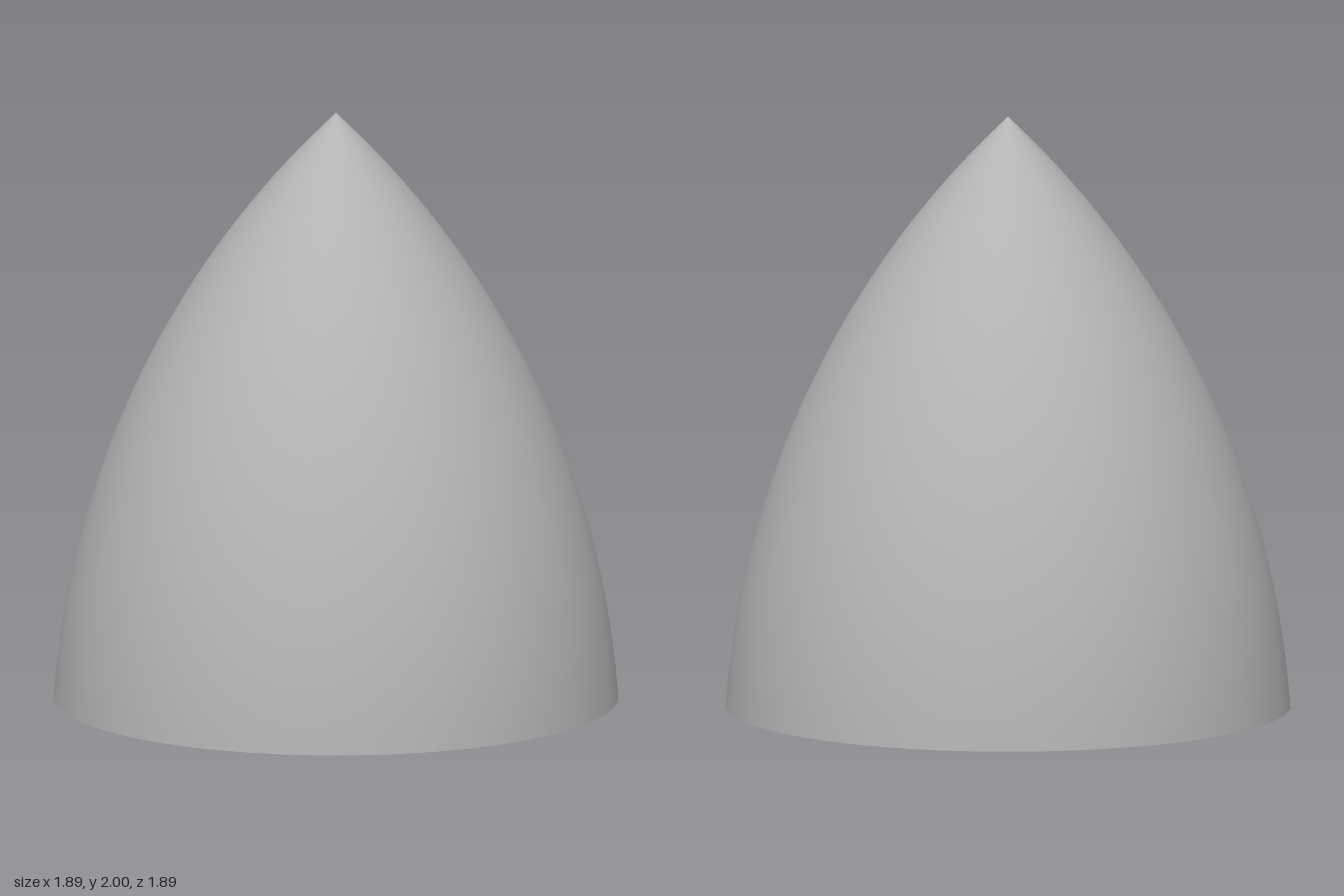
import * as THREE from 'three';
import { toCreasedNormals } from 'three/addons/utils/BufferGeometryUtils.js';

const HEIGHT = 2, BASE_R = 0.945;
const SOCKET_DEPTH = 0.44, ARM = 0.46, HALF_W = 0.14, FILLET = 0.25;

// Circular-arc ogive, from the base rim up to the tip
function ogiveProfile(steps = 48) {
  const R2 = 9.317, offset = 2.1, centreY = -0.216;
  const pts = [];
  for (let i = 0; i <= steps; i++) {
    const y = (HEIGHT * i) / steps;
    let r = Math.sqrt(R2 - (y - centreY) ** 2) - offset;
    if (i === 0) r = BASE_R;
    if (i === steps) r = 0;
    pts.push(new THREE.Vector2(Math.max(r, 0), y));
  }
  return pts;
}

// Counter-clockwise cross with widely rounded inner corners, set diagonally
function crossOutline() {
  const pts = [];
  const centre = HALF_W + FILLET;
  for (let k = 0; k < 4; k++) {
    const turn = Math.PI / 4 + (k * Math.PI) / 2;
    const add = (x, y) =>
      pts.push(new THREE.Vector2(x, y).rotateAround(new THREE.Vector2(), turn));
    add(ARM, -HALF_W);
    add(ARM, HALF_W);
    for (let i = 0; i <= 12; i++) {
      const a = -Math.PI / 2 - (i / 12) * (Math.PI / 2);
      add(centre + FILLET * Math.cos(a), centre + FILLET * Math.sin(a));
    }
  }
  return pts;
}

// Vertical walls facing into the socket
function wallGeometry(outline, depth) {
  const pos = [];
  outline.forEach((a, i) => {
    const b = outline[(i + 1) % outline.length];
    pos.push(a.x, 0, a.y, b.x, 0, b.y, a.x, depth, a.y);
    pos.push(b.x, 0, b.y, b.x, depth, b.y, a.x, depth, a.y);
  });
  const geo = new THREE.BufferGeometry();
  geo.setAttribute('position', new THREE.Float32BufferAttribute(pos, 3));
  return toCreasedNormals(geo, Math.PI / 5);
}

export function createModel() {
  const group = new THREE.Group();
  group.name = 'noseCone';
  const grey = new THREE.MeshStandardMaterial({ color: 0xb4b4b4 });
  grey.name = 'grey';

  const add = (name, geometry) => {
    const mesh = new THREE.Mesh(geometry, grey);
    mesh.name = name;
    group.add(mesh);
    return mesh;
  };

  // Pointed outer shell
  add('shell', new THREE.LatheGeometry(ogiveProfile(), 96));

  // Flat underside with the cross-shaped opening
  const outline = crossOutline();
  const disc = new THREE.Shape();
  disc.absarc(0, 0, BASE_R, 0, Math.PI * 2, false);
  disc.holes.push(new THREE.Path(outline));
  add('base', new THREE.ShapeGeometry(disc, 48).rotateX(Math.PI / 2));

  // Blind socket: walls and end face
  add('socketWalls', wallGeometry(outline, SOCKET_DEPTH));
  add('socketEnd', new THREE.ShapeGeometry(new THREE.Shape(outline)).rotateX(Math.PI / 2))
    .position.y = SOCKET_DEPTH;

  return group;
}
